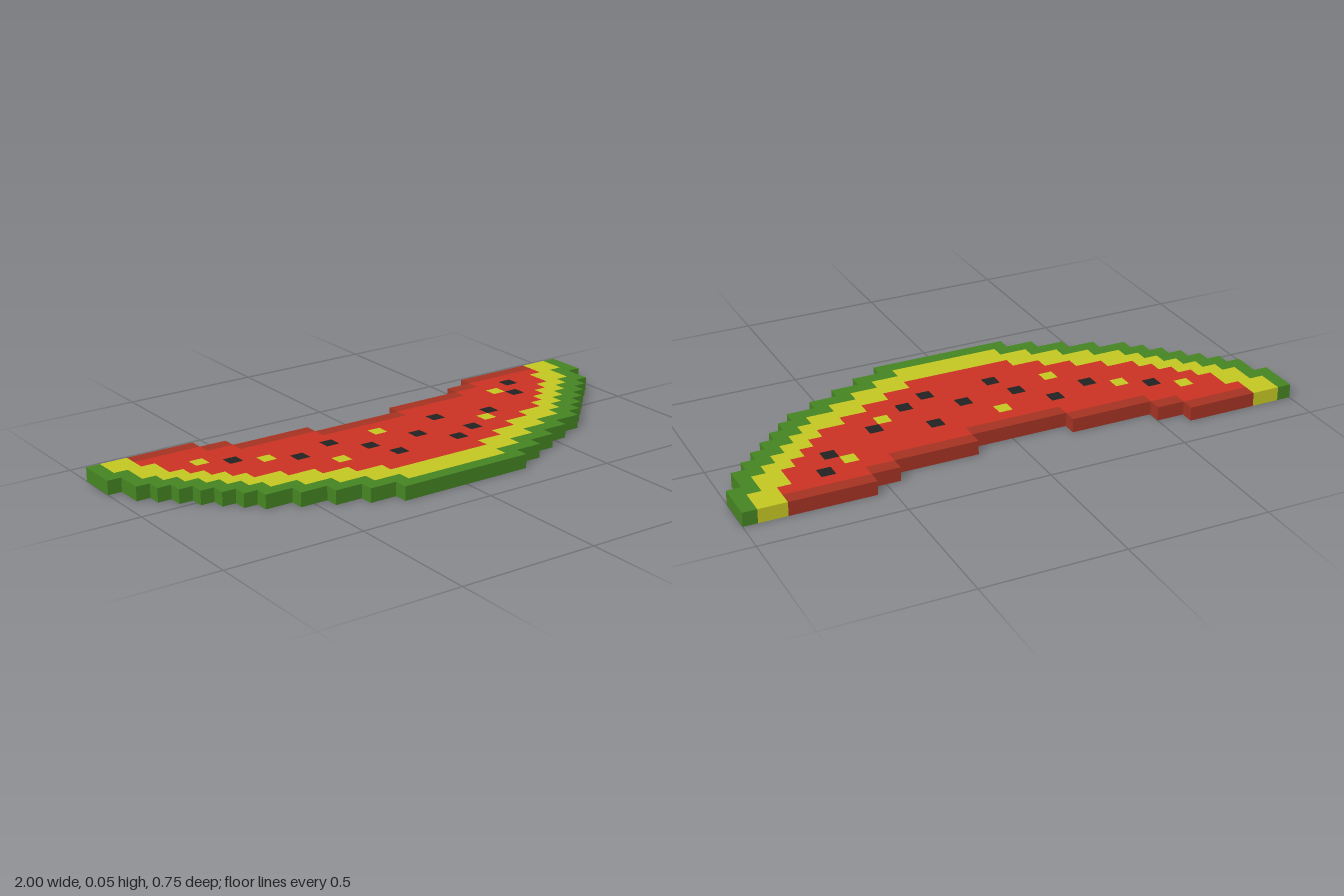
import * as THREE from 'three';
import { mergeGeometries } from 'three/addons/utils/BufferGeometryUtils.js';

const CELL = 0.05, COLS = 40, ROWS = 15, HEIGHT = 0.05;

// Half widths of each nested band, row by row from back to front
const rindHalf = [1, 1, 1, 0.95, 0.95, 0.9, 0.85, 0.8, 0.75, 0.7, 0.65, 0.55, 0.45, 0.35, 0.25];
const pithHalf = [0.95, 0.95, 0.9, 0.9, 0.85, 0.8, 0.75, 0.7, 0.65, 0.6, 0.5, 0.4, 0.3, 0.2, 0];
const fleshHalf = [0.85, 0.85, 0.8, 0.8, 0.75, 0.7, 0.65, 0.6, 0.5, 0.4, 0.3, 0.2, 0, 0, 0];
// First and last column missing from the bitten rows
const bite = [[8, 30], [10, 28], [16, 22]];
// Seeds as [column, row]
const darkSeeds = [[8, 4], [12, 6], [15, 5], [17, 7], [18, 9], [21, 7], [23, 9], [25, 8], [24, 5], [28, 6], [32, 4], [33, 2]];
const paleSeeds = [[6, 3], [10, 5], [14, 8], [19, 5], [27, 7], [31, 3]];

const has = (list, c, r) => list.some(([x, y]) => x === c && y === r);

// Name of the part that fills a cell, or null where the slice is empty
function partAt(c, r) {
  if (c < 0 || c >= COLS || r < 0 || r >= ROWS) return null;
  const x = Math.abs(-1 + (c + 0.5) * CELL);
  if (x > rindHalf[r]) return null;
  if (bite[r] && c >= bite[r][0] && c <= bite[r][1]) return null;
  if (has(darkSeeds, c, r)) return 'darkSeeds';
  if (has(paleSeeds, c, r)) return 'paleSeeds';
  if (x > pithHalf[r]) return 'rind';
  if (x > fleshHalf[r]) return 'pith';
  return partAt(c, r - 1) ? 'flesh' : 'bittenEdge';
}

// Flat rectangle, turned to its direction and moved into place
function face(w, h, rx, ry, x, y, z) {
  return new THREE.PlaneGeometry(w, h).rotateX(rx).rotateY(ry).translate(x, y, z);
}

export function createModel() {
  const mat = (name, color) => {
    const m = new THREE.MeshStandardMaterial({ color });
    m.name = name;
    return m;
  };
  const green = mat('rind green', 0x458422);
  const yellow = mat('pith yellow', 0xc3c622);
  const red = mat('flesh red', 0xcb3223);
  const deepRed = mat('edge red', 0xa43322);
  const black = mat('seed black', 0x222222);
  const materials = { rind: green, pith: yellow, flesh: red, bittenEdge: deepRed, darkSeeds: black, paleSeeds: yellow };
  const faces = {};
  for (const name in materials) faces[name] = [];

  for (let r = 0; r < ROWS; r++) {
    const z = (r + 0.5 - ROWS / 2) * CELL;
    for (let c = 0; c < COLS; c++) {
      const part = partAt(c, r);
      if (!part) continue;
      const x = -1 + (c + 0.5) * CELL, list = faces[part], h = CELL / 2;
      // Outer walls stand only where the neighbouring cell is empty
      if (!partAt(c, r + 1)) list.push(face(CELL, HEIGHT, 0, 0, x, HEIGHT / 2, z + h));
      if (!partAt(c, r - 1)) list.push(face(CELL, HEIGHT, 0, Math.PI, x, HEIGHT / 2, z - h));
      if (!partAt(c + 1, r)) list.push(face(CELL, HEIGHT, 0, Math.PI / 2, x + h, HEIGHT / 2, z));
      if (!partAt(c - 1, r)) list.push(face(CELL, HEIGHT, 0, -Math.PI / 2, x - h, HEIGHT / 2, z));
      // Top and bottom of a run of equal cells, laid once at its first cell
      if (partAt(c - 1, r) === part) continue;
      let n = 1;
      while (partAt(c + n, r) === part) n++;
      const mid = -1 + (c + n / 2) * CELL;
      list.push(face(n * CELL, CELL, -Math.PI / 2, 0, mid, HEIGHT, z));
      list.push(face(n * CELL, CELL, Math.PI / 2, 0, mid, 0, z));
    }
  }

  const group = new THREE.Group();
  group.name = 'melonSlice';
  for (const name in materials) {
    const mesh = new THREE.Mesh(mergeGeometries(faces[name]), materials[name]);
    mesh.name = name;
    group.add(mesh);
  }
  return group;
}
